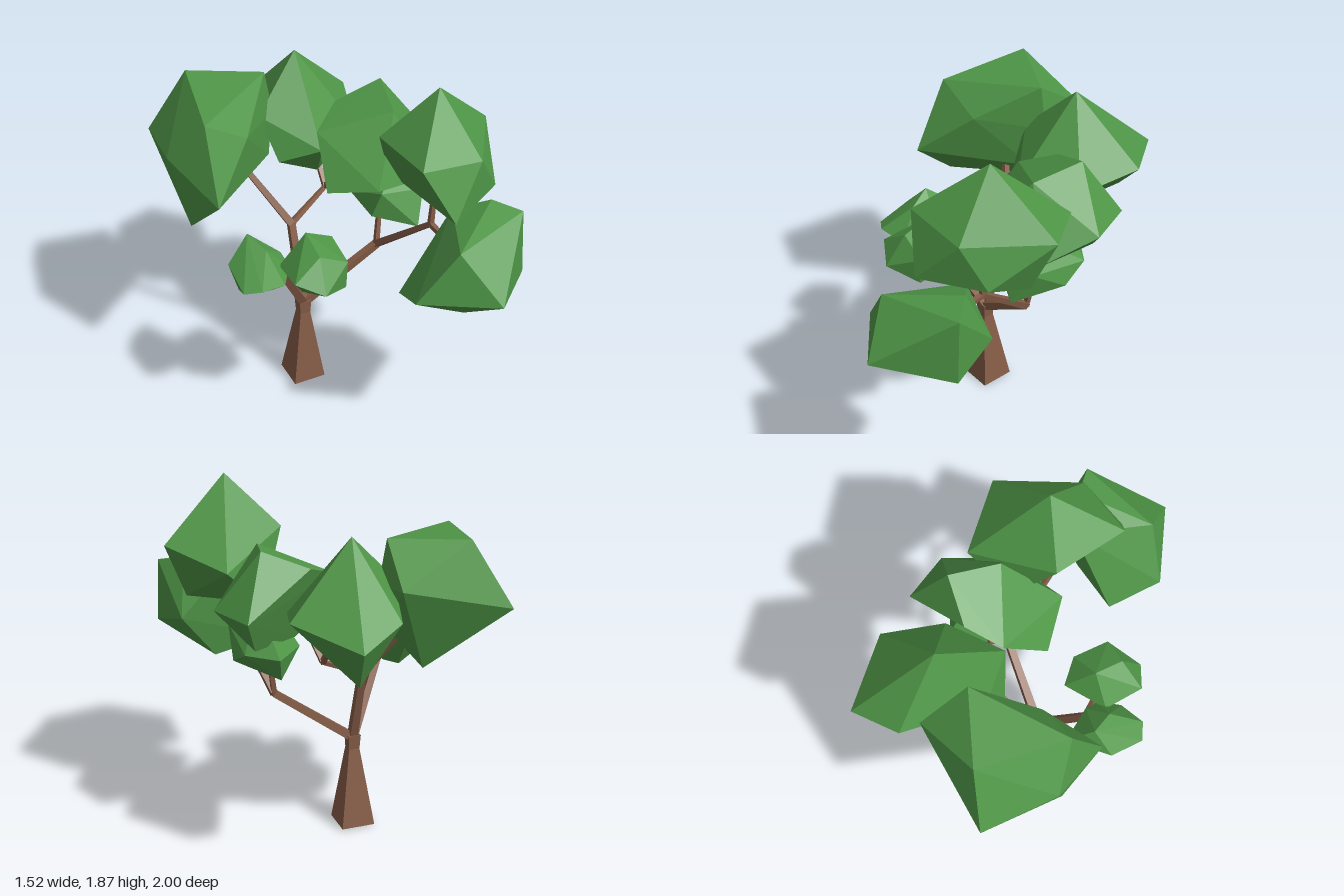
import * as THREE from 'three';
import { ConvexGeometry } from 'three/addons/geometries/ConvexGeometry.js';

const bark = new THREE.MeshStandardMaterial({ color: 0x865d47, flatShading: true });
const leaf = new THREE.MeshStandardMaterial({ color: 0x4f9647, flatShading: true });
const vec = (p) => new THREE.Vector3(...p);

// Square tapered limb running from point a to point b
function limb(name, a, b, halfA, halfB) {
  const from = vec(a), dir = vec(b).sub(from), length = dir.length();
  const geo = new THREE.CylinderGeometry(halfB * Math.SQRT2, halfA * Math.SQRT2, length, 4);
  geo.rotateY(Math.PI / 4);
  geo.translate(0, length / 2, 0);
  const mesh = new THREE.Mesh(geo, bark);
  mesh.name = name;
  mesh.quaternion.setFromUnitVectors(new THREE.Vector3(0, 1, 0), dir.normalize());
  mesh.position.copy(from);
  return mesh;
}

// Faceted leaf clump spanned by a few corner points
function clump(name, corners) {
  const mesh = new THREE.Mesh(new ConvexGeometry(corners.map(vec)), leaf);
  mesh.name = name;
  return mesh;
}

export function createModel() {
  const tree = new THREE.Group();
  tree.name = 'tree';

  // Trunk and the joints where limbs fork
  const fork = [-0.14, 0.49, -0.12];
  const rightJoint = [-0.34, 0.86, 0.05];
  const backJoint = [-0.14, 0.92, -0.25];
  const backTwigJoint = [0.1, 1.04, -0.33];
  const leftJoint = [0.27, 0.78, -0.06];
  const frontJoint = [0.38, 1.1, 0.31];
  const trunkTop = [-0.14, 0.43, -0.12];
  tree.add(limb('trunk', [-0.14, 0, -0.135], trunkTop, 0.09, 0.029));
  tree.add(limb('trunkNeck', trunkTop, [-0.14, 0.51, -0.12], 0.029, 0.034));

  // Main branches
  const branches = new THREE.Group();
  branches.name = 'branches';
  for (const joint of [rightJoint, backJoint, leftJoint]) {
    branches.add(limb('mainBranch', fork, joint, 0.022, 0.018));
  }
  branches.add(limb('frontBranch', leftJoint, frontJoint, 0.018, 0.013));
  branches.add(limb('backBranch', backJoint, backTwigJoint, 0.014, 0.01));
  branches.add(limb('highBranch', backJoint, [-0.32, 1.22, -0.4], 0.019, 0.014));

  // Twigs reaching into the leaf clumps
  const twigs = [
    [rightJoint, [-0.46, 0.96, 0.07]],
    [rightJoint, [-0.25, 0.96, 0.22]],
    [backTwigJoint, [0.1, 1.22, -0.48]],
    [backTwigJoint, [0.16, 1.22, -0.2]],
    [leftJoint, [0.31, 1.04, -0.1]],
    [frontJoint, [0.39, 1.32, 0.32]],
    [frontJoint, [0.4, 1.07, 0.55]],
  ];
  for (const [a, b] of twigs) branches.add(limb('twig', a, b, 0.013, 0.01));
  tree.add(branches);

  // Large foliage
  const foliage = new THREE.Group();
  foliage.name = 'foliage';
  foliage.add(clump('topClump', [
    [0.41, 1.87, 0.29], [0.76, 1.56, 0.17], [0.52, 1.48, -0.12],
    [0.17, 1.61, 0.57], [0.15, 1.6, 0.17], [0.31, 1.33, 0.66],
    [0.51, 1.57, 0.55], [0.64, 1.36, 0.48], [0.64, 1.26, 0.23],
    [0.3, 1.26, 0], [0.4, 1.25, 0.32],
  ]));
  foliage.add(clump('rightClump', [
    [-0.52, 1.72, -0.68], [-0.16, 1.71, -0.5], [-0.61, 1.66, -0.21],
    [-0.76, 1.43, -0.37], [-0.625, 1.28, -0.04], [-0.71, 1.38, -0.77],
    [-0.14, 1.53, -0.76], [-0.38, 1.52, -0.23], [-0.12, 1.48, -0.5],
    [-0.17, 1.25, -0.45], [-0.68, 1.04, -0.3], [-0.32, 1.06, -0.6],
  ]));
  foliage.add(clump('backClump', [
    [0.04, 1.76, -0.56], [0.14, 1.35, -1], [0.39, 1.42, -0.69],
    [-0.1, 1.42, -0.86], [-0.22, 1.49, -0.45], [-0.17, 1.27, -0.32],
    [0.02, 1.35, -0.2], [0.3, 1.35, -0.38], [0.1, 1.12, -0.84],
    [0.08, 1.12, -0.38],
  ]));
  foliage.add(clump('middleClump', [
    [0.4, 1.64, -0.29], [0.34, 1.59, -0.03], [0.52, 1.34, -0.46],
    [0.62, 1.34, -0.22], [0.165, 1.54, -0.34], [0, 1.46, -0.22],
    [-0.05, 1.23, 0], [0.14, 1.3, 0.2], [0.5, 1.22, 0.08],
    [0.2, 1.14, -0.2], [0.45, 1.15, -0.34],
  ]));
  foliage.add(clump('frontClump', [
    [0.39, 1.03, 1], [0.69, 0.96, 0.7], [0.43, 0.8, 0.48],
    [0.35, 0.82, 0.71], [0.11, 0.87, 0.48], [0.05, 1, 0.75],
    [0.25, 1.27, 0.81], [0.57, 1.34, 0.56], [0.68, 1.31, 0.68],
    [0.42, 1.26, 0.44], [0.62, 1.05, 0.44],
  ]));

  // Small foliage
  foliage.add(clump('lowRightClump', [
    [-0.5, 1.12, 0], [-0.62, 0.99, 0.03], [-0.44, 1.02, -0.13],
    [-0.34, 0.99, 0.05], [-0.33, 0.95, 0.13], [-0.54, 0.95, 0.27],
    [-0.62, 0.93, 0.22], [-0.39, 0.81, 0.1], [-0.46, 0.8, 0.04],
    [-0.59, 0.86, 0.08], [-0.4, 0.92, 0.23], [-0.45, 1.08, 0.12],
  ]));
  foliage.add(clump('lowFrontClump', [
    [-0.25, 1.15, 0.16], [-0.09, 1.06, 0.13], [-0.11, 0.88, 0.33],
    [-0.24, 0.82, 0.2], [-0.4, 1, 0.35], [-0.39, 0.98, 0.14],
    [-0.18, 1, 0.02], [-0.27, 0.94, 0.43], [-0.1, 1.03, 0.33],
    [-0.13, 0.9, 0.1], [-0.33, 0.89, 0.28], [-0.25, 1.1, 0.32],
  ]));
  foliage.add(clump('lowLeftClump', [
    [0.36, 1.26, -0.04], [0.22, 1.19, 0.08], [0.4, 0.98, 0.15],
    [0.47, 1.15, 0.07], [0.35, 1.18, -0.29], [0.33, 1.09, -0.36],
    [0.48, 1.1, -0.26], [0.3, 0.95, -0.28], [0.34, 0.95, -0.07],
    [0.5, 1.02, -0.12], [0.17, 1.08, -0.18], [0.18, 1.05, 0.05],
  ]));
  tree.add(foliage);
  return tree;
}
